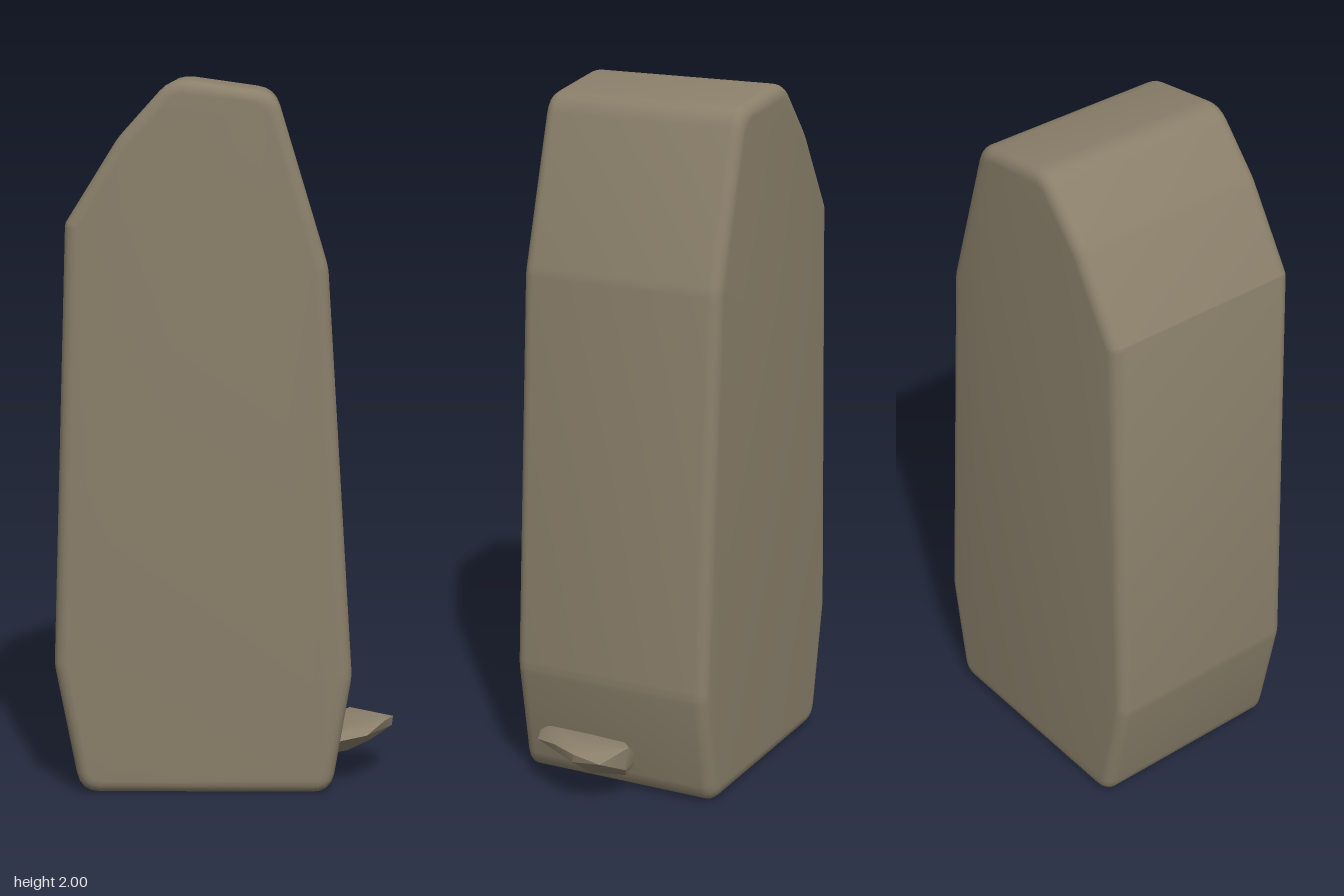
import * as THREE from 'three';
import { toCreasedNormals } from 'three/addons/utils/BufferGeometryUtils.js';
import { ConvexGeometry } from 'three/addons/geometries/ConvexGeometry.js';

// Closed outline; each corner is [x, y, distance cut back for rounding]
function roundedShape(corners) {
  const shape = new THREE.Shape();
  const n = corners.length;
  corners.forEach(([x, y, cut], i) => {
    const p = new THREE.Vector2(x, y);
    const toward = ([qx, qy]) =>
      new THREE.Vector2(qx, qy).sub(p).setLength(cut).add(p);
    const a = toward(corners[(i + n - 1) % n]);
    const b = toward(corners[(i + 1) % n]);
    if (i === 0) shape.moveTo(a.x, a.y);
    else shape.lineTo(a.x, a.y);
    if (cut > 0) shape.quadraticCurveTo(p.x, p.y, b.x, b.y);
  });
  shape.closePath();
  return shape;
}

export function createModel() {
  const group = new THREE.Group();
  group.name = 'standingStone';
  const stone = new THREE.MeshStandardMaterial({ color: 0x8a7f6a });
  stone.name = 'stone';

  // Tall slab with tapered sides, slanted top and softened edges
  const outline = roundedShape([
    [-0.412, 0.005, 0.055], [0.297, 0.005, 0.055], [0.353, 0.34, 0.02],
    [0.281, 1.49, 0.02], [0.136, 1.968, 0.05], [-0.148, 2.008, 0.05],
    [-0.295, 1.845, 0.02], [-0.442, 1.61, 0.01], [-0.482, 0.37, 0.02],
  ]);
  const bevel = 0.035, depth = 0.61;
  const slabGeometry = new THREE.ExtrudeGeometry(outline, {
    depth: depth - 2 * bevel, curveSegments: 4,
    bevelEnabled: true, bevelThickness: bevel, bevelSize: bevel,
    bevelOffset: -bevel, bevelSegments: 4,
  });
  slabGeometry.translate(0, 0, bevel - depth / 2);
  const slab = new THREE.Mesh(toCreasedNormals(slabGeometry, 0.65), stone);
  slab.name = 'slab';
  group.add(slab);

  // Thin faceted chip of rock jutting from the lower side
  const chipPoints = [
    [0.30, 0.14, 0.25], [0.31, 0.158, 0.22], [0.36, 0.162, -0.07],
    [0.38, 0.10, -0.07], [0.47, 0.145, -0.035], [0.482, 0.165, 0.04],
    [0.478, 0.14, 0.05], [0.455, 0.172, 0.12], [0.40, 0.15, 0.205],
    [0.44, 0.178, 0.06], [0.37, 0.172, 0.15], [0.42, 0.09, 0.02],
    [0.35, 0.07, -0.055], [0.35, 0.07, 0.07], [0.30, 0.08, 0.14],
    [0.28, 0.10, -0.06], [0.28, 0.15, 0.0], [0.30, 0.115, 0.2],
  ].map((p) => new THREE.Vector3(...p));
  const chip = new THREE.Mesh(
    toCreasedNormals(new ConvexGeometry(chipPoints), 0.45), stone);
  chip.name = 'rockChip';
  group.add(chip);

  return group;
}
